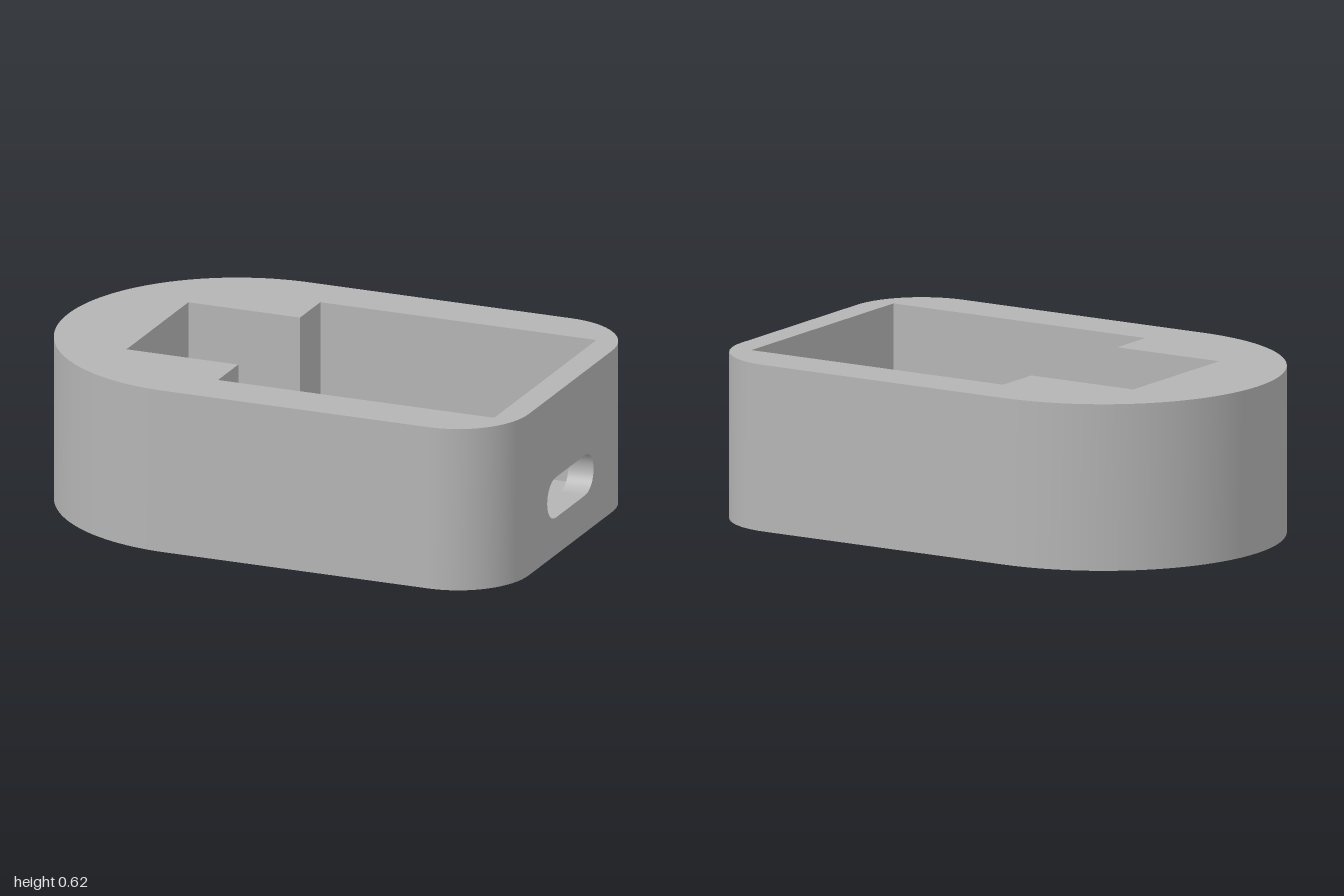
import * as THREE from 'three';

const H = 0.625, R = 0.672;                    // body height, half depth
const POCKET_Y = 0.08, FLOOR_Y = 0.1, GROOVE_Y = 0.05;
const X0 = -0.645, X1 = -0.2, X2 = 0.9;        // pocket start, cavity start and end
const PZ = 0.29, CZ = 0.48, GZ = 0.375;        // half depths: pocket, cavity, floor pad

const grey = new THREE.MeshStandardMaterial({ color: 0xb4b4b4, side: THREE.DoubleSide });
grey.name = 'grey plastic';

// Surface between two [x, z] paths at two heights
function loft(lower, y0, upper, y1, smooth = false) {
  const pos = [], idx = [];
  lower.forEach(([x, z], i) => pos.push(x, y0, z, upper[i][0], y1, upper[i][1]));
  for (let i = 0; i < lower.length - 1; i++) {
    const a = 2 * i;
    idx.push(a, a + 1, a + 2, a + 1, a + 3, a + 2);
  }
  let g = new THREE.BufferGeometry();
  g.setAttribute('position', new THREE.Float32BufferAttribute(pos, 3));
  g.setIndex(idx);
  if (!smooth) g = g.toNonIndexed();
  g.computeVertexNormals();
  return g;
}
const wall = (path, y0, y1, smooth) => loft(path, y0, path, y1, smooth);

const toShape = (pts) => new THREE.Shape(pts.map(([a, b]) => new THREE.Vector2(a, b)));
const rect = (a0, b0, a1, b1) => [[a0, b0], [a1, b0], [a1, b1], [a0, b1]];
const close = (pts) => [...pts, pts[0]];

// Flat sheet with an optional hole, level or upright
function sheet(outline, hole) {
  const s = toShape(outline);
  if (hole) s.holes.push(toShape(hole));
  return new THREE.ShapeGeometry(s);
}
const level = (outline, y, hole) => sheet(outline, hole).rotateX(-Math.PI / 2).translate(0, y, 0);
const upright = (outline, x, hole) => sheet(outline, hole).rotateY(Math.PI / 2).translate(x, 0, 0);

function arc(cx, cy, r, from, to, n) {
  return Array.from({ length: n + 1 }, (_, i) => {
    const t = from + (to - from) * i / n;
    return [cx + r * Math.cos(t), cy + r * Math.sin(t)];
  });
}

export function createModel() {
  const group = new THREE.Group();
  group.name = 'enclosure';
  const add = (name, geo) => {
    const m = new THREE.Mesh(geo, grey);
    m.name = name;
    group.add(m);
  };
  const P = Math.PI, r = 0.28;

  // Outline: rounded corners at +x, half circle at -x
  const outline = [
    ...arc(1 - r, R - r, r, 0, P / 2, 16),
    ...arc(-1 + R, 0, R, P / 2, 1.5 * P, 64),
    ...arc(1 - r, r - R, r, -P / 2, 0, 16),
  ];
  // Cavity with the narrower pocket
  const opening = [[X0, -PZ], [X1, -PZ], [X1, -CZ], [X2, -CZ], [X2, CZ], [X1, CZ], [X1, PZ], [X0, PZ]];
  // Hole through the pocket floor, its tab leaning outward at the top
  const floorHole = (tabX) => [
    [X0, -PZ], [-0.39, -PZ], [-0.39, -0.17], [tabX, -0.17],
    [tabX, 0.17], [-0.39, 0.17], [-0.39, PZ], [X0, PZ]];
  // Rounded port in the end wall, in z and y
  const port = [
    ...arc(0.14, 0.222, 0.078, -P / 2, P / 2, 16),
    ...arc(-0.14, 0.222, 0.078, P / 2, 1.5 * P, 16),
  ];

  add('outerWall', wall(outline, 0, H, true));
  add('endWallOuter', upright(rect(r - R, 0, R - r, H), 1, port));
  add('topRim', level(outline, H, opening));
  add('underside', level(outline, 0, floorHole(-0.305)));

  // Inner walls
  add('endWallInner', upright(rect(-CZ, GROOVE_Y, CZ, H), X2, port));
  const tunnel = wall(close(port), X2, 1, true);
  tunnel.applyMatrix4(new THREE.Matrix4().set(0, 1, 0, 0, 0, 0, 1, 0, 1, 0, 0, 0, 0, 0, 0, 1));
  add('portTunnel', tunnel);
  for (const s of [-1, 1]) {
    add('cavityWall', wall([[X1, s * PZ], [X1, s * CZ], [X2, s * CZ]], GROOVE_Y, H));
    add('pocketWall', wall([[X0, s * PZ], [X1, s * PZ]], POCKET_Y, H));
    // Grooves beside the floor pad
    add('grooveFloor', level(rect(X1, s * GZ, X2, s * CZ), GROOVE_Y));
    add('padSide', wall([[X1, s * GZ], [X2, s * GZ]], GROOVE_Y, FLOOR_Y));
  }
  add('pocketEndWall', wall([[X0, -PZ], [X0, PZ]], POCKET_Y, H));

  // Floors
  add('cavityFloor', level(rect(X1, -GZ, X2, GZ), FLOOR_Y));
  add('floorStep', wall([[X1, -PZ], [X1, PZ]], POCKET_Y, FLOOR_Y));
  const top = floorHole(-0.26);
  add('pocketFloor', level([...top.slice(1, 7), [X1, PZ], [X1, -PZ]], POCKET_Y));
  add('floorHoleSides', loft(close(floorHole(-0.305)), 0, close(top), POCKET_Y));

  return group;
}
